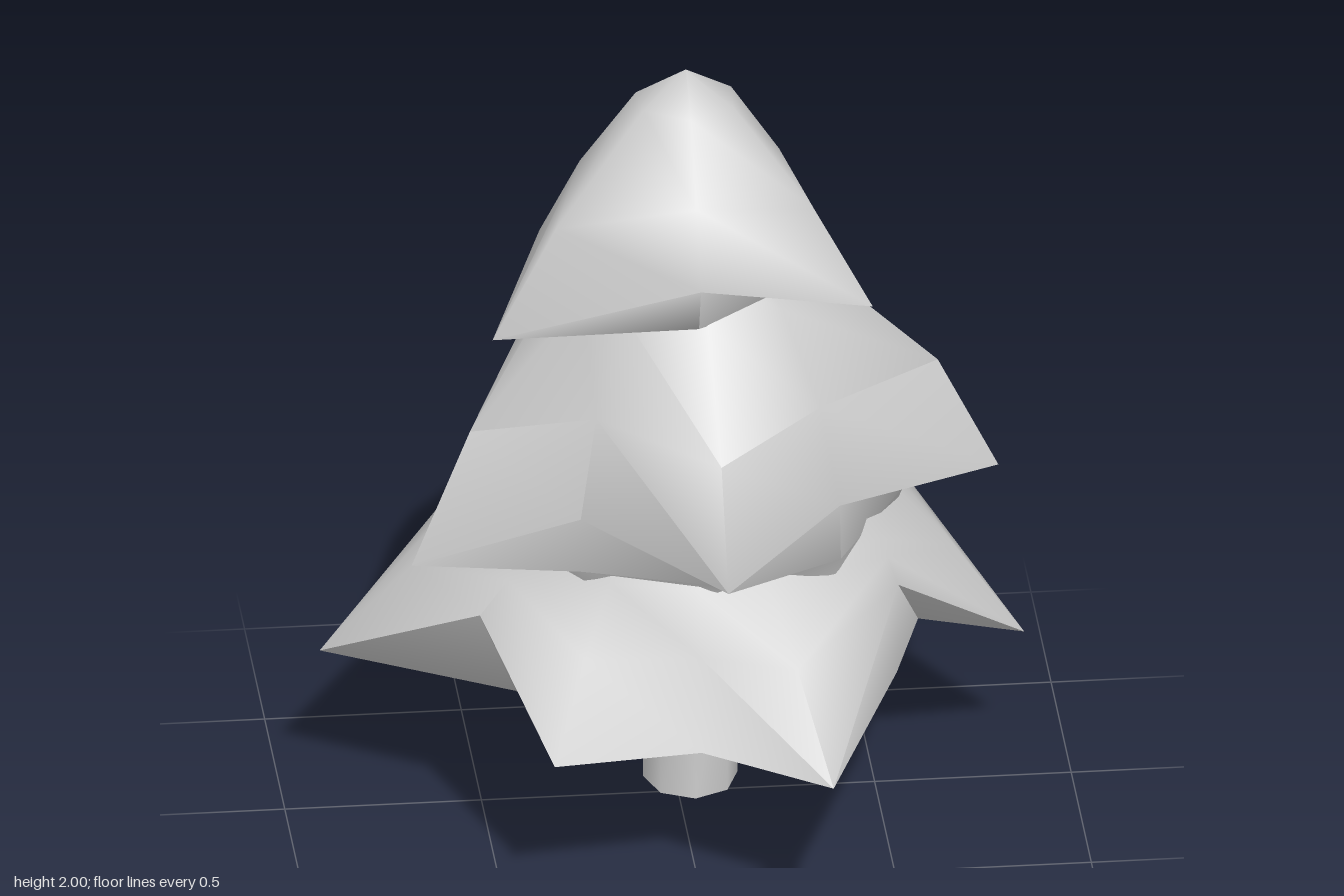
import * as THREE from 'three';
import { toCreasedNormals } from 'three/addons/utils/BufferGeometryUtils.js';

const material = new THREE.MeshStandardMaterial({ color: 0xcccccc, side: THREE.DoubleSide });

// Joins rings of points (top to bottom, same count each) into a closed skin.
function skin(rings) {
  const n = rings[0].length;
  const index = [];
  for (let r = 0; r < rings.length - 1; r++) {
    for (let i = 0; i < n; i++) {
      const a = r * n + i, b = r * n + (i + 1) % n;
      index.push(a, b, a + n, b, b + n, a + n);
    }
  }
  const geometry = new THREE.BufferGeometry().setFromPoints(rings.flat());
  geometry.setIndex(index);
  return toCreasedNormals(geometry, 1.25);
}

// A skirt of boughs: rim holds alternating tips and notches as [x, y, z].
// above and below are plain rings [radius, y] around the centre;
// bulge = [outward, downward] share of the way from neck to rim.
function tier(name, [cx, cz], rim, above, bulge, below) {
  const rimRing = rim.map(p => new THREE.Vector3(...p));
  const ring = ([radius, y]) => rimRing.map(p => {
    const angle = Math.atan2(p.z - cz, p.x - cx);
    return new THREE.Vector3(cx + radius * Math.cos(angle), y, cz + radius * Math.sin(angle));
  });
  const upper = above.map(ring);
  const neck = upper[upper.length - 1];
  const shoulder = rimRing.map((p, i) => new THREE.Vector3(
    THREE.MathUtils.lerp(neck[i].x, p.x, bulge[0]),
    THREE.MathUtils.lerp(neck[i].y, p.y, bulge[1]),
    THREE.MathUtils.lerp(neck[i].z, p.z, bulge[0])));
  const mesh = new THREE.Mesh(skin([...upper, shoulder, rimRing, ...below.map(ring)]), material);
  mesh.name = name;
  return mesh;
}

export function createModel() {
  const tree = new THREE.Group();
  tree.name = 'tree';

  // Trunk
  const trunk = new THREE.Mesh(
    toCreasedNormals(new THREE.CylinderGeometry(0.12, 0.12, 0.36, 8), 1), material);
  trunk.name = 'trunk';
  trunk.scale.z = 1.15;
  trunk.position.set(0.04, 0.18, -0.09);
  tree.add(trunk);

  // Bottom boughs: six tips, underside sloping down to the trunk
  tree.add(tier('bottomBoughs', [0.05, -0.1], [
    [0.89, 0.36, -0.09], [0.54, 0.66, 0.2],
    [0.31, 0.42, 0.84], [0, 0.41, 0.59],
    [-0.38, 0.42, 0.65], [-0.53, 0.66, 0.26],
    [-0.9, 0.39, -0.11], [-0.54, 0.65, -0.43],
    [-0.4, 0.39, -0.85], [0.03, 0.66, -0.76],
    [0.45, 0.4, -0.81], [0.62, 0.65, -0.43],
  ], [[0.4, 0.95], [0.52, 0.78]], [0.45, 0.4], [[0.57, 0.41], [0.34, 0.385], [0.12, 0.28]]));

  // Middle boughs: five tips
  tree.add(tier('middleBoughs', [0.05, -0.1], [
    [0.82, 0.86, -0.05], [0.38, 0.95, 0.31],
    [0.06, 0.9, 0.67], [-0.28, 0.95, 0.32],
    [-0.7, 0.79, 0.22], [-0.43, 0.95, -0.3],
    [-0.34, 0.81, -0.77], [0.05, 0.95, -0.64],
    [0.48, 0.83, -0.76], [0.54, 0.95, -0.38],
  ], [[0.22, 1.55], [0.32, 1.43]], [0.66, 0.47], [[0.53, 0.8], [0.51, 0.75]]));

  // Top boughs: three tips under a rounded point
  tree.add(tier('topBoughs', [0.03, -0.1], [
    [0.48, 1.43, 0.15], [0.03, 1.56, 0.28],
    [-0.49, 1.4, 0.18], [-0.33, 1.5, -0.22],
    [0.06, 1.41, -0.65], [0.37, 1.5, -0.24],
  ], [[0, 2], [0.13, 1.92]], [0.58, 0.5], [[0.33, 1.43], [0.2, 1.43]]));

  return tree;
}
